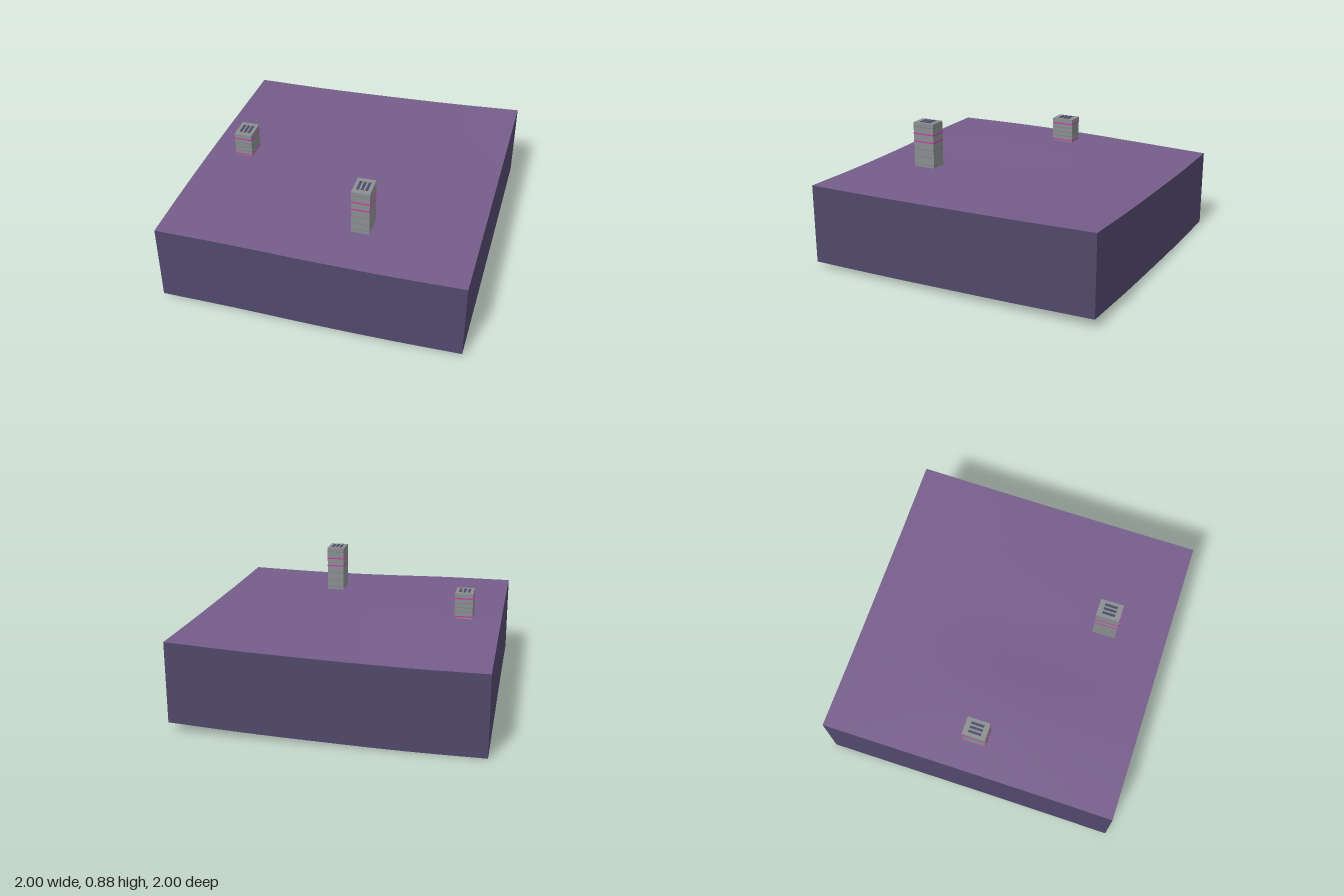
import * as THREE from 'three';

const DEPTH = 0.533; // height of the skirt below the ground surface

// Ground heights on a coarse 5 x 5 lattice: rows run back to front, columns along x
const HEIGHTS = [
  [0.533, 0.536, 0.550, 0.569, 0.597],
  [0.550, 0.556, 0.557, 0.568, 0.585],
  [0.566, 0.576, 0.562, 0.570, 0.577],
  [0.572, 0.574, 0.561, 0.565, 0.571],
  [0.567, 0.567, 0.559, 0.559, 0.570],
];

// Smooth interpolation through five evenly spaced values over -1..1
function smooth(values, t) {
  const u = THREE.MathUtils.clamp((t + 1) * 2, 0, 4);
  const i = Math.min(3, Math.floor(u));
  const f = u - i;
  const b = values[i], c = values[i + 1];
  const a = i > 0 ? values[i - 1] : 2 * b - c;
  const d = i < 3 ? values[i + 2] : 2 * c - b;
  return b + 0.5 * f * (c - a + f * (2 * a - 5 * b + 4 * c - d + f * (3 * (b - c) + d - a)));
}

const groundHeight = (x, z) => smooth(HEIGHTS.map((row) => smooth(row, x)), z);

function flat(name, color, side = THREE.FrontSide) {
  const material = new THREE.MeshStandardMaterial({ color, side });
  material.name = name;
  return material;
}

export function createModel() {
  const model = new THREE.Group();
  model.name = 'terrainTile';

  const ground = flat('purple ground', 0x755d8a, THREE.DoubleSide);
  const earth = flat('dark violet earth', 0x50486b, THREE.DoubleSide);
  const concrete = flat('grey concrete', 0x8a8e90);
  const joint = flat('dark grey joint', 0x74787b);
  const neon = flat('pink neon', 0xcc33aa);
  const vent = flat('slate vent', 0x4a4a68);

  const add = (parent, name, geometry, material) => {
    const mesh = new THREE.Mesh(geometry, material);
    mesh.name = name;
    parent.add(mesh);
    return mesh;
  };
  const box = (parent, name, size, position, material) =>
    add(parent, name, new THREE.BoxGeometry(...size), material).position.set(...position);

  // Rolling ground surface
  const surface = new THREE.PlaneGeometry(2, 2, 24, 24).rotateX(-Math.PI / 2);
  const points = surface.attributes.position;
  for (let i = 0; i < points.count; i++) {
    points.setY(i, groundHeight(points.getX(i), points.getZ(i)));
  }
  surface.computeVertexNormals();
  add(model, 'groundSurface', surface, ground);

  // Four skirt walls follow the ground edge, leaving the underside open
  ['frontSkirt', 'leftSkirt', 'backSkirt', 'rightSkirt'].forEach((name, k) => {
    const wall = new THREE.PlaneGeometry(2, 1, 24, 1).translate(0, 0, 1).rotateY(k * Math.PI / 2);
    const p = wall.attributes.position;
    for (let i = 0; i < p.count; i++) {
      const top = groundHeight(p.getX(i), p.getZ(i));
      p.setY(i, p.getY(i) > 0 ? top : top - DEPTH);
    }
    wall.computeVertexNormals();
    add(model, name, wall, earth);
  });

  // Towers with floor joints, neon bands and three roof vents
  const W = 0.12, D = 0.156;
  function tower(name, x, z, base, top, neonLevels, jointLevels) {
    const group = new THREE.Group();
    group.name = name;
    group.position.set(x, 0, z);
    model.add(group);
    box(group, 'towerBody', [W, top - base, D], [0, (top + base) / 2, 0], concrete);
    for (const y of neonLevels) {
      box(group, 'neonBand', [W + 0.003, 0.008, D + 0.003], [0, y, 0], neon);
    }
    for (const y of jointLevels) {
      box(group, 'floorJoint', [W + 0.001, 0.003, D + 0.001], [0, y, 0], joint);
    }
    for (const dx of [-0.029, 0, 0.029]) {
      box(group, 'roofVent', [0.016, 0.004, 0.086], [dx, top + 0.001, 0], vent);
    }
  }
  tower('shortTower', -0.75, 0, 0.565, 0.744, [0.585, 0.709], [0.616, 0.647, 0.678]);
  tower('tallTower', 0.25, 0.582, 0.555, 0.874, [0.741, 0.796], [0.582, 0.635, 0.688, 0.845]);

  return model;
}
